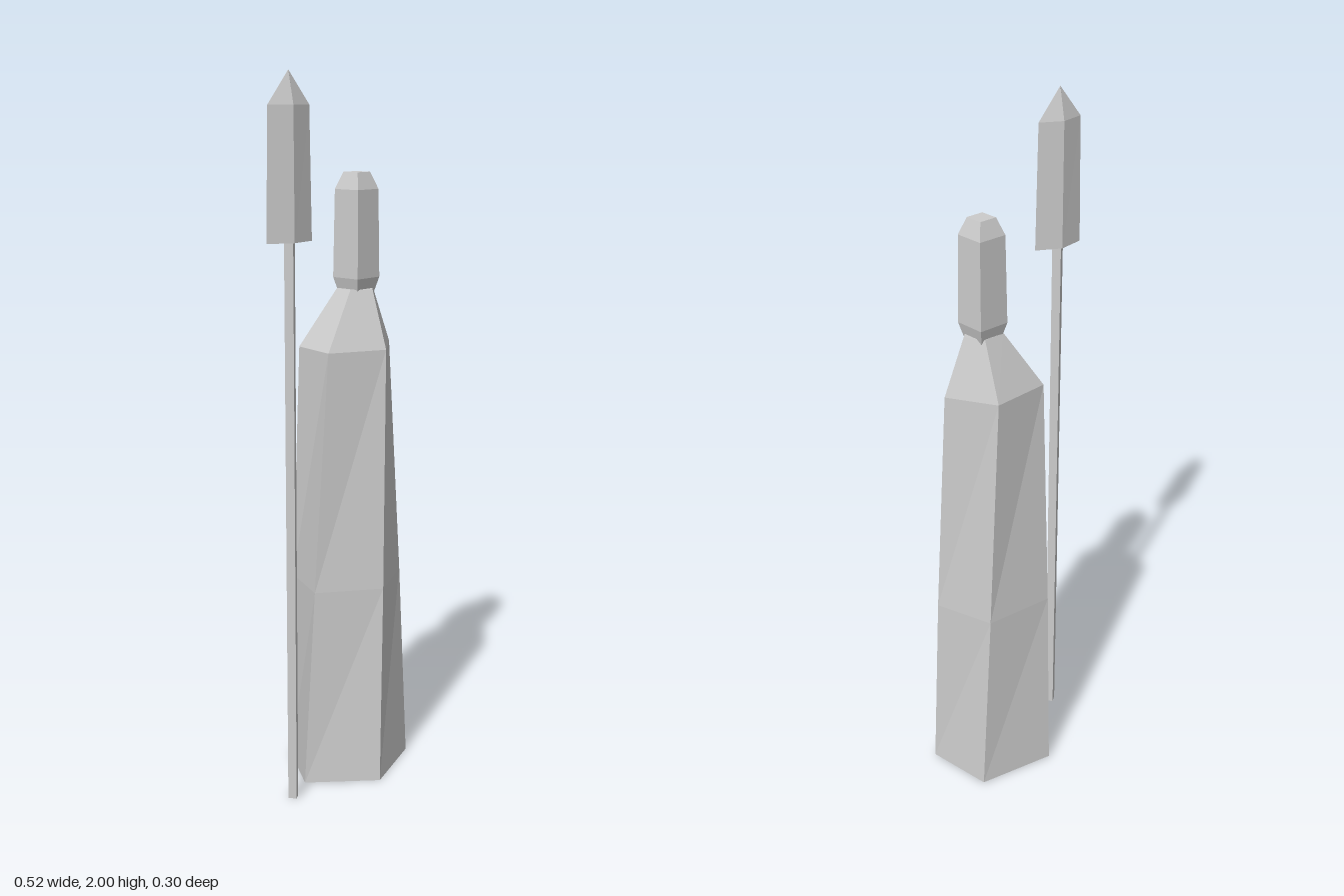
import * as THREE from 'three';

const stone = new THREE.MeshStandardMaterial({ color: 0xcccccc });
stone.name = 'light grey';

// Flat-shaded closed solid through rings {y, pts: [[x, z], ...]}, listed bottom to top,
// each ring running left, front, right, back.
function loft(name, rings) {
  const pos = [];
  const n = rings[0].pts.length;
  const put = (ring, i) => pos.push(ring.pts[i % n][0], ring.y, ring.pts[i % n][1]);
  for (let r = 0; r < rings.length - 1; r++) {
    const a = rings[r], b = rings[r + 1];
    for (let i = 0; i < n; i++) {
      put(a, i); put(a, i + 1); put(b, i + 1);
      put(a, i); put(b, i + 1); put(b, i);
    }
  }
  const bottom = rings[0], top = rings[rings.length - 1];
  for (let i = 1; i < n - 1; i++) {
    put(bottom, 0); put(bottom, i + 1); put(bottom, i);
    put(top, 0); put(top, i); put(top, i + 1);
  }
  const geo = new THREE.BufferGeometry();
  geo.setAttribute('position', new THREE.Float32BufferAttribute(pos, 3));
  geo.computeVertexNormals();
  const mesh = new THREE.Mesh(geo, stone);
  mesh.name = name;
  return mesh;
}

// Diamond cross-section centred on the spear axis
const diamond = (y, hx, hz) => ({
  y,
  pts: [[-hx, 0], [0, hz], [hx, 0], [0, -hz]].map(([x, z]) => [x - 0.188, z + 0.078]),
});

// Turned square cross-section of the head
const square = (y, s) => ({
  y,
  pts: [[-0.054, -0.035], [-0.034, 0.051], [0.054, 0.034], [0.034, -0.051]]
    .map(([x, z]) => [0.101 + x * s, -0.0175 + z * s]),
});

export function createModel() {
  const group = new THREE.Group();
  group.name = 'spearBearer';

  // Five-sided robe, twisting slightly and closing in at the shoulders
  group.add(loft('robe', [
    { y: 0, pts: [[-0.115, 0.032], [0.07, 0.148], [0.257, 0.037], [0.19, -0.148], [-0.04, -0.151]] },
    { y: 0.58, pts: [[-0.086, 0.043], [0.093, 0.126], [0.243, 0.012], [0.157, -0.141], [-0.045, -0.123]] },
    { y: 1.26, pts: [[-0.045, 0.052], [0.118, 0.097], [0.217, -0.015], [0.118, -0.127], [-0.045, -0.086]] },
    { y: 1.42, pts: [[0.055, 0.016], [0.118, 0.034], [0.157, -0.016], [0.118, -0.06], [0.055, -0.045]] },
  ]));

  // Blocky head with bevelled ends
  group.add(loft('head', [square(1.405, 0.75), square(1.45, 1), square(1.69, 0.93), square(1.736, 0.57)]));

  // Spear standing beside the figure
  group.add(loft('spearShaft', [diamond(0, 0.017, 0.017), diamond(1.58, 0.017, 0.017)]));
  group.add(loft('spearBlade', [diamond(1.57, 0.071, 0.024), diamond(1.915, 0.064, 0.022), diamond(2, 0.0005, 0.0005)]));

  return group;
}
